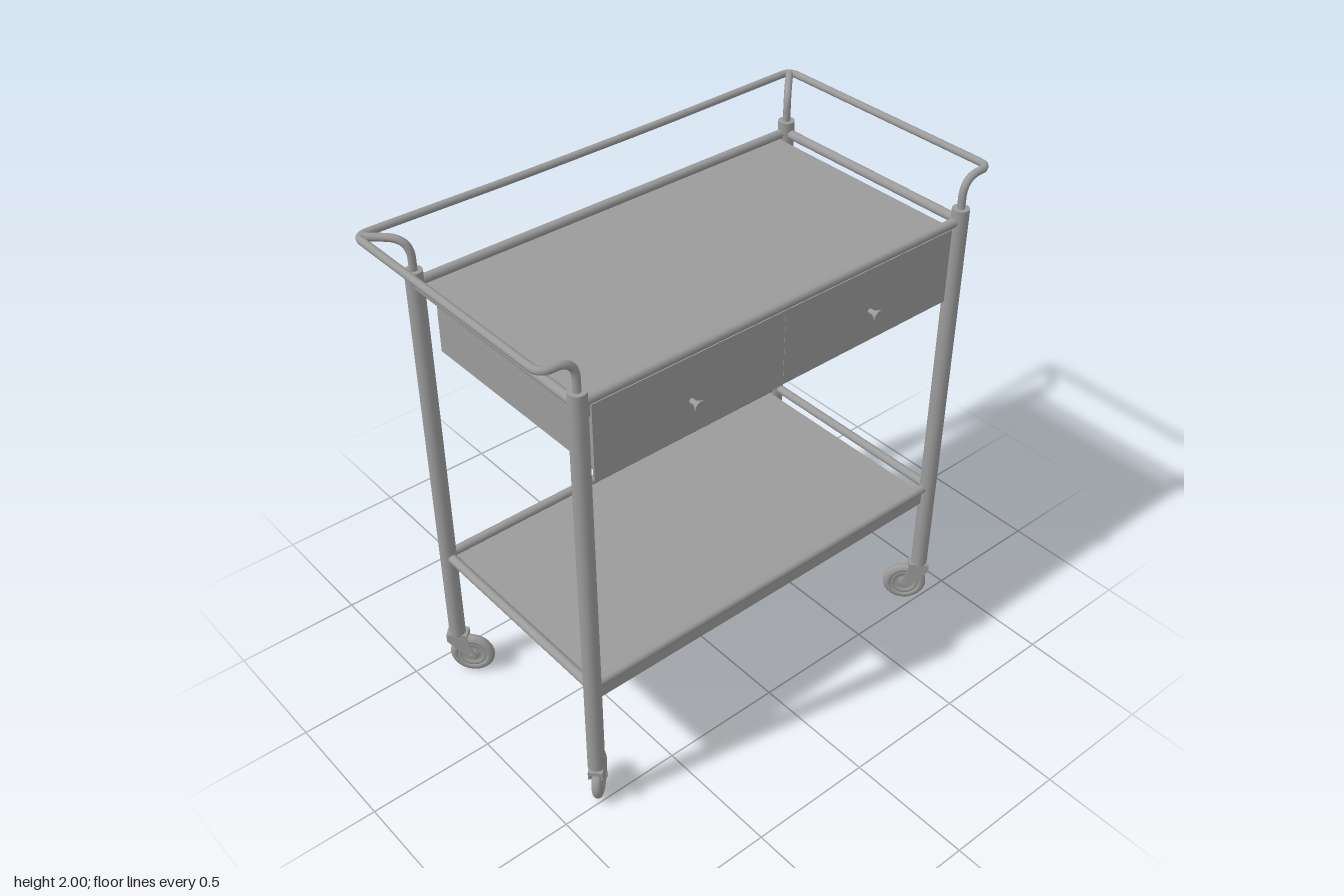
import * as THREE from 'three';

const POST_X = 0.845, FRONT_Z = 0.49, BACK_Z = -0.405;
const mat = new THREE.MeshStandardMaterial({ color: 0x9b9b9b });
const V = (x, y, z) => new THREE.Vector3(x, y, z);

function add(parent, name, geometry, x = 0, y = 0, z = 0) {
  const mesh = new THREE.Mesh(geometry, mat);
  mesh.name = name;
  mesh.position.set(x, y, z);
  parent.add(mesh);
  return mesh;
}

// Box given by its minimum and maximum corners
function box(parent, name, [x0, y0, z0], [x1, y1, z1]) {
  return add(parent, name, new THREE.BoxGeometry(x1 - x0, y1 - y0, z1 - z0),
    (x0 + x1) / 2, (y0 + y1) / 2, (z0 + z1) / 2);
}

// Tube along straight runs; bends holds the rounding of each inner corner
function bentTube(parent, name, points, bends, radius, segments) {
  const path = new THREE.CurvePath();
  let from = points[0];
  bends.forEach((bend, i) => {
    const p = points[i + 1];
    const towards = (q) => p.clone().add(q.clone().sub(p).setLength(bend));
    const a = towards(points[i]), b = towards(points[i + 2]);
    path.add(new THREE.LineCurve3(from, a));
    path.add(new THREE.QuadraticBezierCurve3(a, p, b));
    from = b;
  });
  path.add(new THREE.LineCurve3(from, points[points.length - 1]));
  return add(parent, name, new THREE.TubeGeometry(path, segments, radius, 10, false));
}

// Shelf pan framed by four round rails
function makeShelf(name, panBottom, panTop, railY) {
  const shelf = new THREE.Group();
  shelf.name = name;
  box(shelf, 'shelfPan', [-0.81, panBottom, -0.412], [0.81, panTop, 0.49]);
  for (const z of [FRONT_Z - 0.003, BACK_Z - 0.003]) {
    add(shelf, 'longRail', new THREE.CylinderGeometry(0.018, 0.018, 2 * POST_X, 16), 0, railY, z).rotation.z = Math.PI / 2;
  }
  for (const x of [-POST_X, POST_X]) {
    add(shelf, 'sideRail', new THREE.CylinderGeometry(0.018, 0.018, FRONT_Z - BACK_Z, 16),
      x, railY, (FRONT_Z + BACK_Z) / 2).rotation.x = Math.PI / 2;
  }
  return shelf;
}

// Open-topped drawer with a tall front and a flared knob
function makeDrawer(side) {
  const drawer = new THREE.Group();
  drawer.name = side > 0 ? 'leftDrawer' : 'rightDrawer';
  const mid = side * 0.415, x0 = mid - 0.375, x1 = mid + 0.375;
  const y0 = 1.53, y1 = 1.692, z0 = -0.375, z1 = 0.49, t = 0.012;
  box(drawer, 'drawerBottom', [x0, y0, z0], [x1, y0 + t, z1]);
  box(drawer, 'drawerSide', [x0, y0, z0], [x0 + t, y1, z1]);
  box(drawer, 'drawerSide', [x1 - t, y0, z0], [x1, y1, z1]);
  box(drawer, 'drawerBack', [x0 + t, y0, z0], [x1 - t, y1, z0 + t]);
  const a = side * 0.0005, b = side * 0.8;
  box(drawer, 'drawerFront', [Math.min(a, b), 1.5, z1], [Math.max(a, b), 1.797, 0.498]);
  const profile = [[0.01, 0], [0.01, 0.02], [0.023, 0.042], [0.023, 0.047]];
  const points = profile.map(([r, y]) => new THREE.Vector2(r, y));
  add(drawer, 'knob', new THREE.LatheGeometry(points, 16), side * 0.405, 1.625, 0.498).rotation.x = Math.PI / 2;
  add(drawer, 'knobFace', new THREE.CircleGeometry(0.023, 16), side * 0.405, 1.625, 0.545);
  return drawer;
}

// Swivel caster; local +x is the trailing direction
function makeCaster() {
  const caster = new THREE.Group();
  caster.name = 'caster';
  const axleX = 0.052, axleY = 0.09;

  // Tyre, rim groove and hub
  const half = [[0, 0.018], [0.022, 0.018], [0.023, 0.009], [0.042, 0.009], [0.043, 0.016],
    [0.056, 0.016], [0.057, 0.011], [0.06, 0.018], [0.07, 0.02], [0.082, 0.015], [0.088, 0.006]];
  const profile = [...half.map(([r, h]) => [r, -h]), ...half.slice().reverse()]
    .map(([r, h]) => new THREE.Vector2(r, h));
  add(caster, 'wheel', new THREE.LatheGeometry(profile, 28), axleX, axleY, 0).rotation.x = Math.PI / 2;
  add(caster, 'axle', new THREE.CylinderGeometry(0.01, 0.01, 0.062, 12), axleX, axleY, 0).rotation.x = Math.PI / 2;

  // Fork cheeks slanting from the swivel to the axle
  const cheek = new THREE.Shape();
  cheek.moveTo(-0.04, 0.2);
  cheek.lineTo(-0.04, 0.165);
  cheek.lineTo(axleX - 0.018, axleY - 0.006);
  cheek.quadraticCurveTo(axleX, axleY - 0.028, axleX + 0.018, axleY);
  cheek.lineTo(0.042, 0.165);
  cheek.lineTo(0.042, 0.2);
  cheek.closePath();
  const cheekGeo = new THREE.ExtrudeGeometry(cheek, { depth: 0.006, bevelEnabled: false });
  add(caster, 'forkCheek', cheekGeo, 0, 0, 0.021);
  add(caster, 'forkCheek', cheekGeo, 0, 0, -0.027);
  box(caster, 'forkCrown', [-0.04, 0.184, -0.027], [0.042, 0.2, 0.027]);
  return caster;
}

export function createModel() {
  const cart = new THREE.Group();
  cart.name = 'serviceCart';

  // Corner posts on casters that trail inward, one swivelled a little further
  for (const sx of [-1, 1]) {
    for (const z of [FRONT_Z, BACK_Z]) {
      add(cart, 'post', new THREE.CylinderGeometry(0.032, 0.032, 1.67, 20), sx * POST_X, 1.03, z);
      const caster = makeCaster();
      caster.position.set(sx * POST_X, 0, z);
      caster.rotation.y = Math.atan2(Math.sign(z), -sx) + (sx > 0 && z < 0 ? 0.22 : 0);
      cart.add(caster);
    }
  }

  cart.add(makeShelf('lowerShelf', 0.53, 0.585, 0.603));
  cart.add(makeShelf('upperShelf', 1.75, 1.797, 1.815));

  // Drawers and the runners they hang from
  for (const side of [-1, 1]) cart.add(makeDrawer(side));
  for (const x of [-0.783, 0, 0.783]) {
    box(cart, 'drawerRunner', [x - 0.006, 1.692, -0.375], [x + 0.006, 1.75, 0.49]);
  }
  box(cart, 'runnerFlange', [-0.032, 1.684, -0.375], [0.032, 1.692, 0.49]);

  // Handrail round the sides and back, rising out of the front posts
  const railY = 1.985, railX = 0.973, railZ = -0.53, tubeR = 0.0145;
  bentTube(cart, 'handrail', [
    V(-POST_X, 1.85, FRONT_Z), V(-POST_X, railY, FRONT_Z), V(-railX, railY, FRONT_Z),
    V(-railX, railY, railZ), V(-0.3, 1.975, railZ), V(0.3, 1.975, railZ), V(railX, railY, railZ),
    V(railX, railY, FRONT_Z), V(POST_X, railY, FRONT_Z), V(POST_X, 1.85, FRONT_Z),
  ], [0.078, 0.046, 0.046, 0.2, 0.2, 0.046, 0.046, 0.078], tubeR, 420);

  // Diagonal supports from the back posts to the rail corners
  for (const sx of [-1, 1]) {
    bentTube(cart, 'railSupport', [
      V(sx * POST_X, 1.85, BACK_Z), V(sx * POST_X, railY, BACK_Z), V(sx * (railX - 0.013), railY, railZ + 0.013),
    ], [0.078], tubeR, 40);
  }
  return cart;
}
